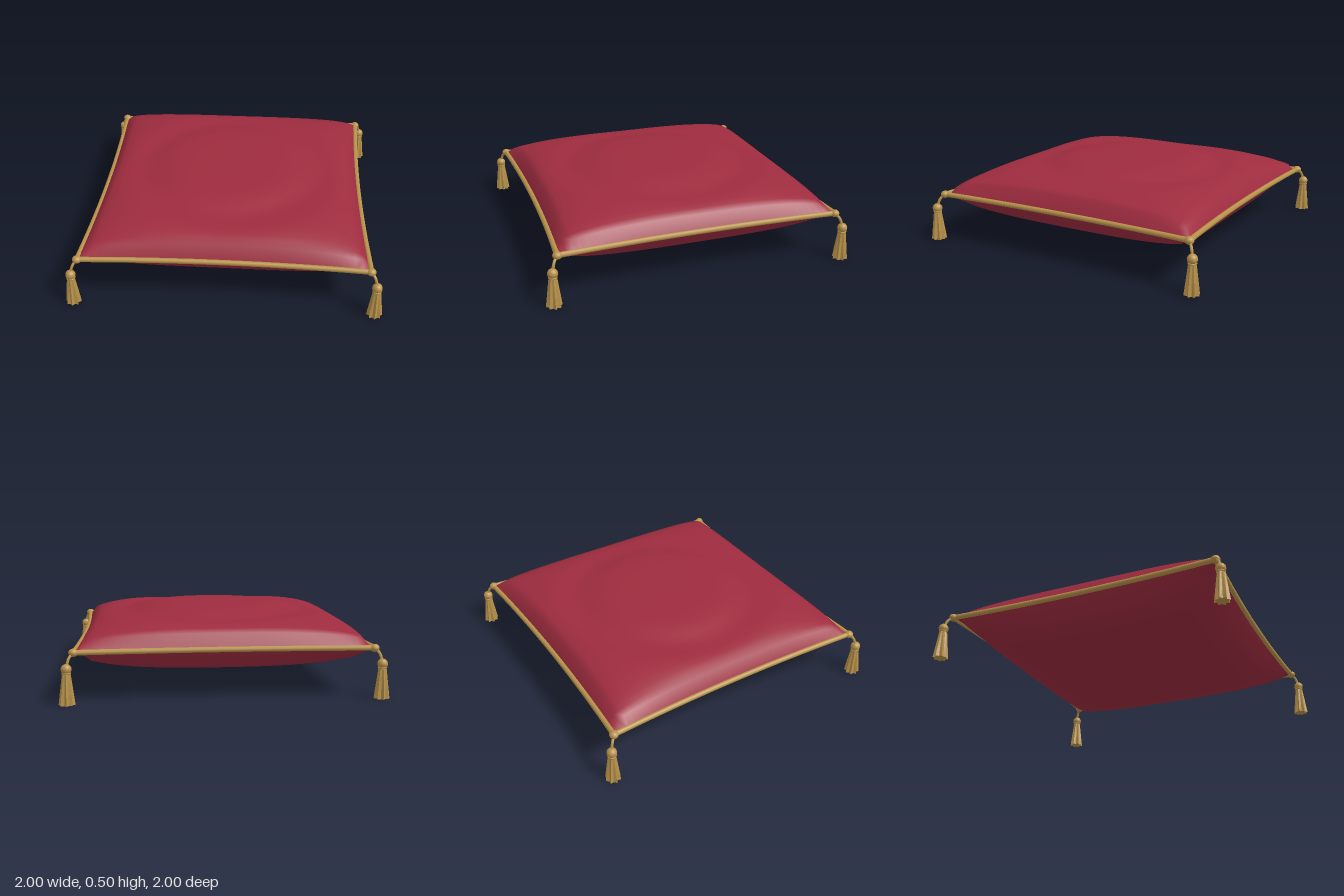
import * as THREE from 'three';

const SEAM = 0.305;

export function createModel() {
  const red = new THREE.MeshStandardMaterial({ color: 0x9e2c3f });
  red.name = 'crimson velvet';
  const gold = new THREE.MeshStandardMaterial({ color: 0xb8924a });
  gold.name = 'gold cord';

  const model = new THREE.Group();
  model.name = 'tasselled cushion';
  const add = (parent, name, geometry, material, x = 0, y = 0, z = 0) => {
    const mesh = new THREE.Mesh(geometry, material);
    mesh.name = name;
    mesh.position.set(x, y, z);
    parent.add(mesh);
    return mesh;
  };

  // Cushion halves: a grid with bowed-in sides, puffed up away from the seam
  const puff = (t) => Math.pow(Math.max(0, 1 - Math.pow(Math.abs(t), 2.5)), 0.35);
  const half = (segments, sign) => {
    const geometry = new THREE.PlaneGeometry(2, 2, segments, segments);
    geometry.rotateX(-sign * Math.PI / 2);
    const p = geometry.attributes.position;
    for (let i = 0; i < p.count; i++) {
      const u = p.getX(i), v = p.getZ(i);
      const x = u * (0.875 + 0.03 * v * v);
      const z = v * (0.875 + 0.03 * u * u);
      let h = 0.197 * puff(u) * puff(v);
      // Soft ring-shaped dent in the top
      if (sign > 0) h -= 0.024 * Math.exp(-(((Math.hypot(x, z) - 0.6) / 0.12) ** 2));
      p.setXYZ(i, x, SEAM + sign * h, z);
    }
    geometry.computeVertexNormals();
    return geometry;
  };
  add(model, 'cushionTop', half(40, 1), red);
  add(model, 'cushionBottom', half(20, -1), red);

  // Piping along the four bowed seams
  const points = [];
  for (let i = 0; i <= 8; i++) {
    const t = i / 4 - 1;
    points.push(new THREE.Vector3(t * 0.91, 0, 0.88 + 0.03 * t * t));
  }
  const pipe = new THREE.TubeGeometry(new THREE.CatmullRomCurve3(points), 32, 0.017, 10);
  for (let k = 0; k < 4; k++) {
    add(model, 'piping', pipe, gold, 0, SEAM, 0).rotation.y = k * Math.PI / 2;
  }

  // Pleated tassel skirt: every second rim point is pulled inward
  const pleats = new THREE.CylinderGeometry(0.024, 0.05, 0.2, 16, 3);
  const q = pleats.attributes.position;
  for (let i = 0; i < q.count; i++) {
    const x = q.getX(i), z = q.getZ(i), r = Math.hypot(x, z);
    if (r < 1e-6) continue;
    const odd = Math.round(Math.atan2(x, z) / (Math.PI / 8)) & 1;
    const s = odd ? 1 - 0.3 * Math.min(1, 0.4 + (0.1 - q.getY(i)) * 3) : 1;
    q.setX(i, x * s);
    q.setZ(i, z * s);
  }
  const skirt = pleats.toNonIndexed();
  skirt.computeVertexNormals();

  const knot = new THREE.SphereGeometry(0.029, 16, 12);
  knot.scale(1, 0.85, 1);
  const head = new THREE.SphereGeometry(0.032, 16, 12);
  const strand = new THREE.TubeGeometry(new THREE.CatmullRomCurve3([
    new THREE.Vector3(0.91, 0.305, 0.91),
    new THREE.Vector3(0.935, 0.275, 0.935),
    new THREE.Vector3(0.95, 0.22, 0.95),
  ]), 10, 0.009, 8);
  const collar = new THREE.TorusGeometry(0.023, 0.006, 8, 16);
  collar.rotateX(Math.PI / 2);

  // Corner knots and hanging tassels
  for (let k = 0; k < 4; k++) {
    const corner = new THREE.Group();
    corner.name = 'cornerTassel';
    add(corner, 'knot', knot, gold, 0.91, SEAM, 0.91);
    add(corner, 'strand', strand, gold);
    add(corner, 'tasselHead', head, gold, 0.95, 0.214, 0.95);
    add(corner, 'tasselCollar', collar, gold, 0.95, 0.19, 0.95);
    add(corner, 'tasselSkirt', skirt, gold, 0.95, 0.1, 0.95);
    corner.rotation.y = k * Math.PI / 2;
    model.add(corner);
  }
  return model;
}
